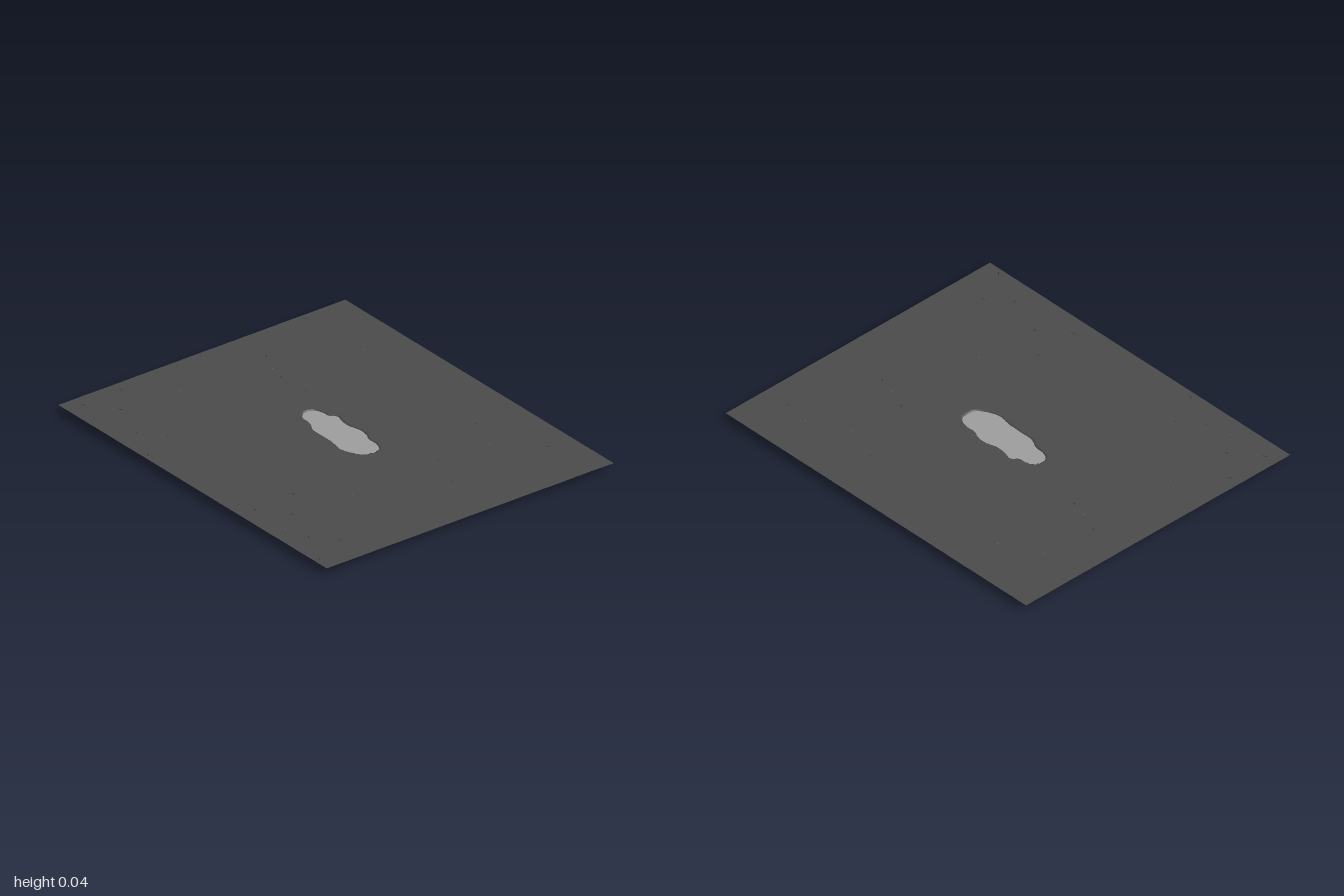
import * as THREE from 'three';
import { mergeGeometries } from 'three/addons/utils/BufferGeometryUtils.js';

const LEVEL = 0.042; // height of the flat ground
const HALF_X = 1, HALF_Z = 0.83;

// Shoreline of the puddle as [x, z] points
const SHORE = [
  [-0.26, -0.03], [-0.245, -0.07], [-0.21, -0.085], [-0.17, -0.09], [-0.14, -0.115],
  [-0.09, -0.105], [-0.04, -0.1], [0.02, -0.115], [0.08, -0.112], [0.12, -0.095],
  [0.19, -0.092], [0.235, -0.065], [0.242, -0.02], [0.23, 0.02], [0.19, 0.05],
  [0.13, 0.07], [0.06, 0.06], [-0.02, 0.056], [-0.1, 0.055], [-0.15, 0.03],
  [-0.22, 0.02], [-0.25, 0.0]
];
const shore = new THREE.CatmullRomCurve3(
  SHORE.map(([x, z]) => new THREE.Vector3(x, 0, z)), true
).getPoints(110);

// Signed distance to the shoreline, positive inside the puddle
function shoreDistance(x, z) {
  let best = Infinity, inside = false;
  for (let i = 0; i < shore.length - 1; i++) {
    const a = shore[i], b = shore[i + 1];
    const dx = b.x - a.x, dz = b.z - a.z;
    const t = THREE.MathUtils.clamp(((x - a.x) * dx + (z - a.z) * dz) / (dx * dx + dz * dz || 1), 0, 1);
    best = Math.min(best, Math.hypot(x - a.x - t * dx, z - a.z - t * dz));
    if ((a.z > z) !== (b.z > z) && x < a.x + (dx * (z - a.z)) / dz) inside = !inside;
  }
  return inside ? best : -best;
}

const hump = (x, z, cx, cz, sx, sz) => Math.exp(-(((x - cx) / sx) ** 2) - ((z - cz) / sz) ** 2);

// Ground height: flat, faintly uneven, with a rounded hollow under the puddle
function groundHeight(x, z) {
  const rough = THREE.MathUtils.smoothstep(Math.abs(x), 0.3, 0.5);
  let y = LEVEL;
  y += 0.0005 * rough * (Math.sin(47 * x + 3 * Math.sin(19 * z)) * Math.sin(41 * z + 2 * Math.sin(23 * x)));
  for (const side of [-0.32, 0.28, 0.79]) {
    y += 0.0025 * hump(x, z, -0.13, side, 0.08, 0.025) + 0.002 * hump(x, z, 0.07, side - 0.03, 0.09, 0.03);
  }
  if (Math.abs(x) < 0.32 && Math.abs(z) < 0.18) {
    const k = THREE.MathUtils.clamp((shoreDistance(x, z) + 0.001) / 0.06, 0, 1);
    const depth = 0.033 + 0.009 * hump(x, 0, -0.17, 0, 0.07, 1) + 0.009 * hump(x, 0, 0.04, 0, 0.06, 1);
    y -= depth * Math.sqrt(k * (2 - k));
  }
  return Math.max(y, 0);
}

// Grid packed more tightly towards the middle
function makeGround() {
  const geo = new THREE.PlaneGeometry(2, 2, 240, 200).rotateX(-Math.PI / 2);
  const pos = geo.attributes.position;
  const pack = (u) => 0.55 * u + 0.45 * u ** 3;
  for (let i = 0; i < pos.count; i++) {
    const x = HALF_X * pack(pos.getX(i)), z = HALF_Z * pack(pos.getZ(i));
    pos.setXYZ(i, x, groundHeight(x, z), z);
  }
  geo.computeVertexNormals();
  return geo;
}

// Small chips [x, z, length, angle], repeated on both sides of the puddle
const CHIPS = [
  [-0.97, -0.57, 0.025, 0.5], [-0.77, -0.5, 0.03, 1.4], [-0.59, -0.69, 0.02, 0.3],
  [-0.57, -0.6, 0.025, 1.2], [-0.43, -0.58, 0.025, 1.7], [-0.79, -0.21, 0.03, -0.9],
  [-0.68, -0.16, 0.03, 1.3], [-0.59, -0.14, 0.03, -0.6], [-0.42, -0.15, 0.02, 0.6],
  [-0.65, -0.34, 0.02, 1.5], [-0.77, 0.3, 0.025, 1.4], [-0.58, 0.4, 0.02, 0.8],
  [-0.94, 0.51, 0.025, -0.7], [-0.79, 0.63, 0.03, 0.2], [-0.93, 0.74, 0.04, 0.4],
  [-0.7, 0.74, 0.035, 1.5], [-0.57, 0.71, 0.025, -0.5], [-0.46, 0.62, 0.025, 0.4],
  [-0.37, 0.8, 0.04, -0.6]
];
function makeChips() {
  const parts = [];
  for (const shift of [0, 1.28]) {
    for (const [x, z, length, angle] of CHIPS) {
      const chip = new THREE.ConeGeometry(1, 1, 4);
      chip.scale(length / 2, 0.003, 0.003).rotateY(angle);
      parts.push(chip.translate(x + shift, LEVEL + 0.0008, z));
    }
  }
  return mergeGeometries(parts);
}

export function createModel() {
  const group = new THREE.Group();
  const add = (name, geo, color) => {
    const mat = new THREE.MeshStandardMaterial({ color, side: THREE.DoubleSide });
    const mesh = new THREE.Mesh(geo, mat);
    mesh.name = name;
    group.add(mesh);
  };

  add('ground', makeGround(), 0x4a4a4a);
  add('groundChips', makeChips(), 0x2c2c2c);

  // Flat sheet of water, just below ground level and wider than the hollow
  const water = new THREE.PlaneGeometry(0.58, 0.21).rotateX(-Math.PI / 2);
  add('water', water.translate(-0.015, LEVEL - 0.006, -0.025), 0x9c9c9c);
  return group;
}
